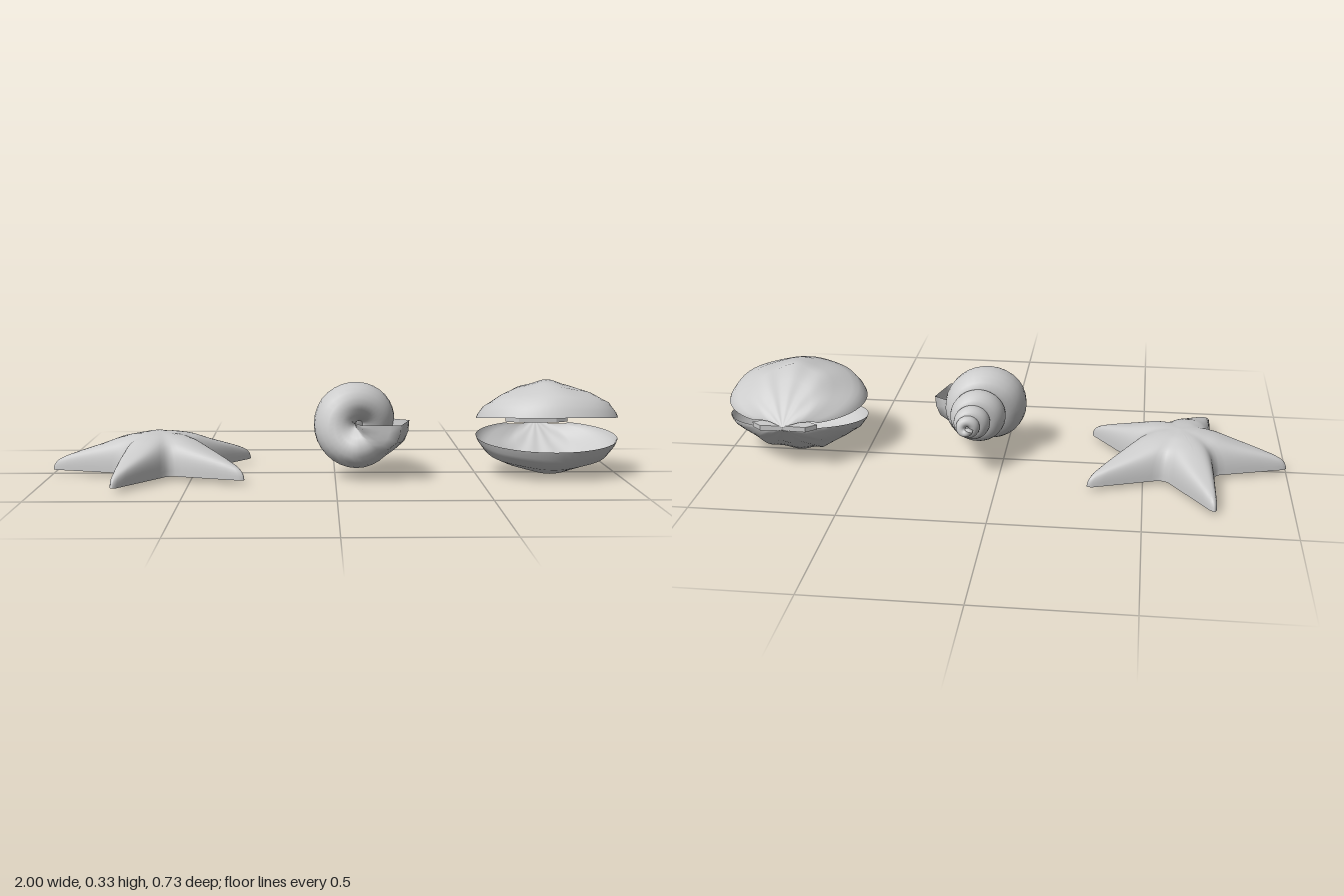
import * as THREE from 'three';

const { sin, cos, PI, abs, min, max, pow, sqrt } = Math;
const material = new THREE.MeshStandardMaterial({ color: 0xcccccc, side: THREE.DoubleSide });

// Smooth surface over a grid: fn(i, j) returns [x, y, z]; wrap closes the j direction.
function surface(name, nu, nv, wrap, fn) {
  const pos = [], index = [], cols = wrap ? nv : nv + 1;
  for (let i = 0; i <= nu; i++) for (let j = 0; j < cols; j++) pos.push(...fn(i, j));
  for (let i = 0; i < nu; i++) for (let j = 0; j < nv; j++) {
    const k = (j + 1) % cols;
    const a = i * cols + j, b = a + cols, c = i * cols + k, d = c + cols;
    index.push(a, b, c, b, d, c);
  }
  const g = new THREE.BufferGeometry();
  g.setAttribute('position', new THREE.Float32BufferAttribute(pos, 3));
  g.setIndex(index);
  g.computeVertexNormals();
  const mesh = new THREE.Mesh(g, material);
  mesh.name = name;
  return mesh;
}

// Piecewise-linear profile through [t, value] points.
function profile(points, t) {
  for (let i = 1; i < points.length; i++) {
    const [t0, v0] = points[i - 1], [t1, v1] = points[i];
    if (t <= t1) return v0 + (v1 - v0) * (t - t0) / (t1 - t0);
  }
  return points[points.length - 1][1];
}

// Five-armed star, hollow underneath, with rounded arms and blunt tips.
function createStarfish() {
  const half = PI / 5, tip = 0.41, notch = 0.15, steps = 10, rings = 20;
  const height = [[0, 0.135], [0.07, 0.132], [0.13, 0.12], [0.2, 0.094], [0.38, 0.036]];
  return surface('starfish', rings, 10 * steps, true, (i, j) => {
    const arm = Math.round(j / (2 * steps));
    const k = (j - arm * 2 * steps) / steps;
    const u = half * pow(abs(k), 1.8);
    const edge = tip * notch * sin(half) / (tip * sin(u) + notch * sin(half - u));
    const t = 1 - pow(1 - i / rings, 1.8);
    const r = t * max(min(edge, 0.38), notch * 1.07);
    const a = PI + arm * 2 * half + Math.sign(k) * u;
    // The rim gets steeper toward the arm tips
    const fall = sqrt(max(0, 1 - pow(t, 3 + 22 * pow(r / 0.38, 2))));
    return [r * cos(a), profile(height, r) * fall, -r * sin(a)];
  });
}

// Tube winding out from the apex, ending in a flared five-sided lip.
function createSpiralShell() {
  const turns = 4.5, perTurn = 32, n = turns * perTurn, sides = 20;
  return surface('spiralShell', n, sides, true, (i, j) => {
    const back = (n - i) / perTurn;
    const k = pow(0.65, back), a = -back * 2 * PI;
    const size = min(1, pow(0.65, back - 0.6));
    const f = min(1, max(0, 1.8 - back / 0.07));
    const corner = ((j % 4) / 4 - 0.5) * 2 * PI / 5;
    const pentagon = 0.114 * cos(PI / 5) / cos(corner);
    const phi = j * 2 * PI / sides - PI / 9;
    const round = i === 0 ? 0 : 0.073 * size;
    const r = round + (pentagon - round) * f;
    const stretch = 1.2 - 0.2 * f;
    const d = 0.077 * size + 0.01 * f + r * cos(phi);
    return [
      0.12 - 0.055 * k + d * cos(a),
      0.195 - 0.007 * k + d * sin(a) + 0.012 * f,
      -0.25 + 0.41 * min(k, 0.9) + r * stretch * sin(phi),
    ];
  });
}

// One ribbed valve fanning from the hinge, plus its hinge ears.
function createValve(name) {
  const valve = new THREE.Group();
  valve.name = name;
  const dome = [[0, 0], [0.22, 0.08], [0.47, 0.137], [0.72, 0.11], [0.9, 0.074], [0.975, 0.028], [1, 0]];
  const s = [0, 0.05, 0.12, 0.22, 0.34, 0.47, 0.6, 0.72, 0.82, 0.9, 0.95, 0.975, 1];
  const across = 48, hinge = -0.2;
  valve.add(surface('valveDome', s.length - 1, across, false, (i, j) => {
    const a = (j / across * 2 - 1) * PI * 0.85;
    const x = 0.25 * sin(a) * s[i];
    const z = hinge + (0.025 + 0.205 * cos(a) - hinge) * s[i];
    const rib = 0.97 + 0.03 * cos(a * 6);
    const h = profile(dome, s[i]) * pow(cos(a / 2), 1.7) * rib;
    return [x, 0.004 + 0.128 * (z - hinge) + h, z];
  }));
  const shape = new THREE.Shape(
    [[-0.07, 0.145], [-0.115, 0.17], [-0.08, 0.2], [0, 0.195], [0.08, 0.2], [0.115, 0.17], [0.07, 0.145]]
      .map(([x, y]) => new THREE.Vector2(x, y)));
  const ear = new THREE.Mesh(new THREE.ExtrudeGeometry(shape, { depth: 0.009, bevelEnabled: false }), material);
  ear.name = 'hingeEars';
  ear.rotation.x = -PI / 2;
  valve.add(ear);
  return valve;
}

export function createModel() {
  const model = new THREE.Group();
  model.name = 'seashells';

  const star = createStarfish();
  star.position.set(-0.62, 0.015, 0);
  model.add(star, createSpiralShell());

  // Two mirrored valves meeting at the hinge
  const clam = new THREE.Group();
  clam.name = 'clam';
  const upper = createValve('upperValve'), lower = createValve('lowerValve');
  lower.scale.y = -1;
  clam.add(upper, lower);
  clam.position.set(0.75, 0.167, 0);
  model.add(clam);
  return model;
}
